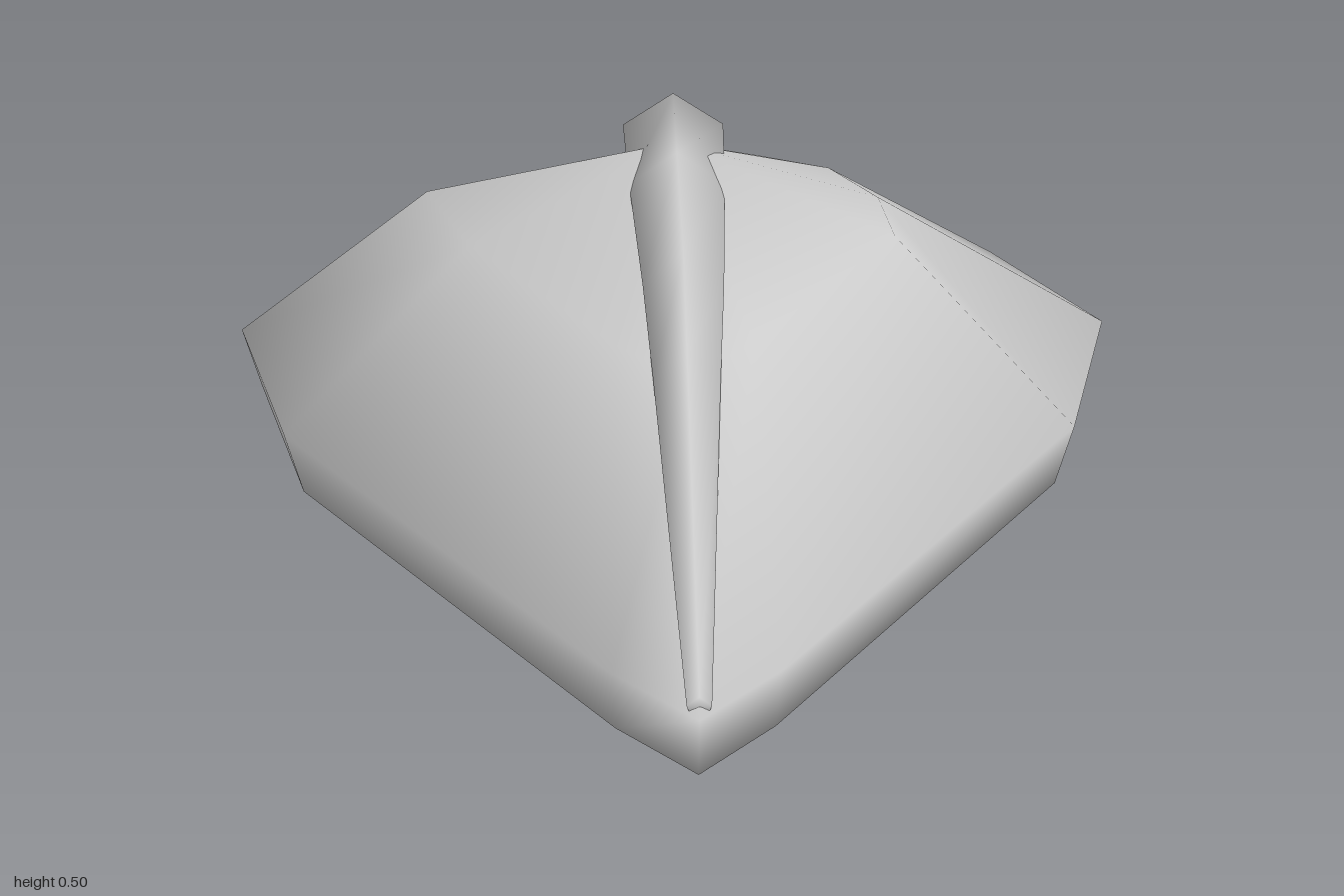
import * as THREE from 'three';

// Skin a stack of equal-sized rings, close both ends with a fan to a point,
// and give every corner the plain average of its face normals.
function loft(rings, startPoint, endPoint) {
  const n = rings[0].length;
  const points = [...rings.flat(), startPoint, endPoint].map((p) => new THREE.Vector3(...p));
  const start = points.length - 2;
  const end = points.length - 1;
  const faces = [];
  rings.forEach((ring, r) => {
    for (let i = 0; i < n; i++) {
      const a0 = r * n + i;
      const a1 = r * n + ((i + 1) % n);
      if (r === 0) faces.push([a0, a1, start]);
      if (r === rings.length - 1) faces.push([a1, a0, end]);
      else faces.push([a1, a0, a0 + n], [a1, a0 + n, a1 + n]);
    }
  });
  const normals = points.map(() => new THREE.Vector3());
  for (const face of faces) {
    const normal = new THREE.Triangle(...face.map((i) => points[i])).getNormal(new THREE.Vector3());
    face.forEach((i) => normals[i].add(normal));
  }
  const geometry = new THREE.BufferGeometry().setFromPoints(points);
  const flatNormals = normals.flatMap((v) => v.normalize().toArray());
  geometry.setAttribute('normal', new THREE.Float32BufferAttribute(flatNormals, 3));
  geometry.setIndex(faces.flat());
  return geometry;
}

export function createModel() {
  const group = new THREE.Group();
  const shellGrey = new THREE.MeshStandardMaterial({ color: 0xcccccc });
  shellGrey.name = 'shellGrey';

  // Teardrop outline at the widest level, as [x, z]; the pointed end faces the front.
  const side = [[0.33, -0.91], [0.6, -0.66], [0.745, -0.31], [0.62, 0.13], [0.11, 0.88]];
  const mirrored = side.map(([x, z]) => [-x, z]).reverse();
  const outline = [[0, -1], ...side, [0, 1], ...mirrored];

  // Domed body: tucked-in foot, wide rim, lopsided shoulder, peak.
  const foot = outline.map(([x, z]) => [x * 0.96, 0, z * 0.965]);
  const rim = outline.map(([x, z]) => [x, 0.1, z]);
  const shoulder = [
    [0, 0.33, -0.6],
    [0.15, 0.34, -0.52], [0.27, 0.355, -0.4], [0.335, 0.37, -0.2], [0.34, 0.38, 0.015], [0.1, 0.345, 0.36],
    [0, 0.33, 0.46],
    [-0.1, 0.345, 0.37], [-0.33, 0.365, 0], [-0.41, 0.38, -0.22], [-0.29, 0.35, -0.38], [-0.15, 0.34, -0.5],
  ];
  const body = new THREE.Mesh(loft([foot, rim, shoulder], [0, 0.01, 0], [0, 0.468, -0.2]), shellGrey);
  body.name = 'shellBody';
  group.add(body);

  // Tapering ridge along the crest: [z, top height, half width, shoulder drop, depth].
  const stations = [
    [0.98, 0.122, 0.016, 0.012, 0.03],
    [0.45, 0.366, 0.048, 0.04, 0.09],
    [0.27, 0.45, 0.06, 0.05, 0.11],
    [-0.1, 0.483, 0.077, 0.052, 0.11],
    [-0.355, 0.505, 0.085, 0.055, 0.11],
  ];
  const sections = stations.map(([z, top, w, drop, depth]) => [
    [0, top, z],
    [-w, top - drop, z],
    [-w * 0.6, top - depth, z],
    [w * 0.6, top - depth, z],
    [w, top - drop, z],
  ]);
  const ridge = new THREE.Mesh(loft(sections, [0, 0.11, 0.98], [0, 0.445, -0.355]), shellGrey);
  ridge.name = 'crestRidge';
  group.add(ridge);

  return group;
}
